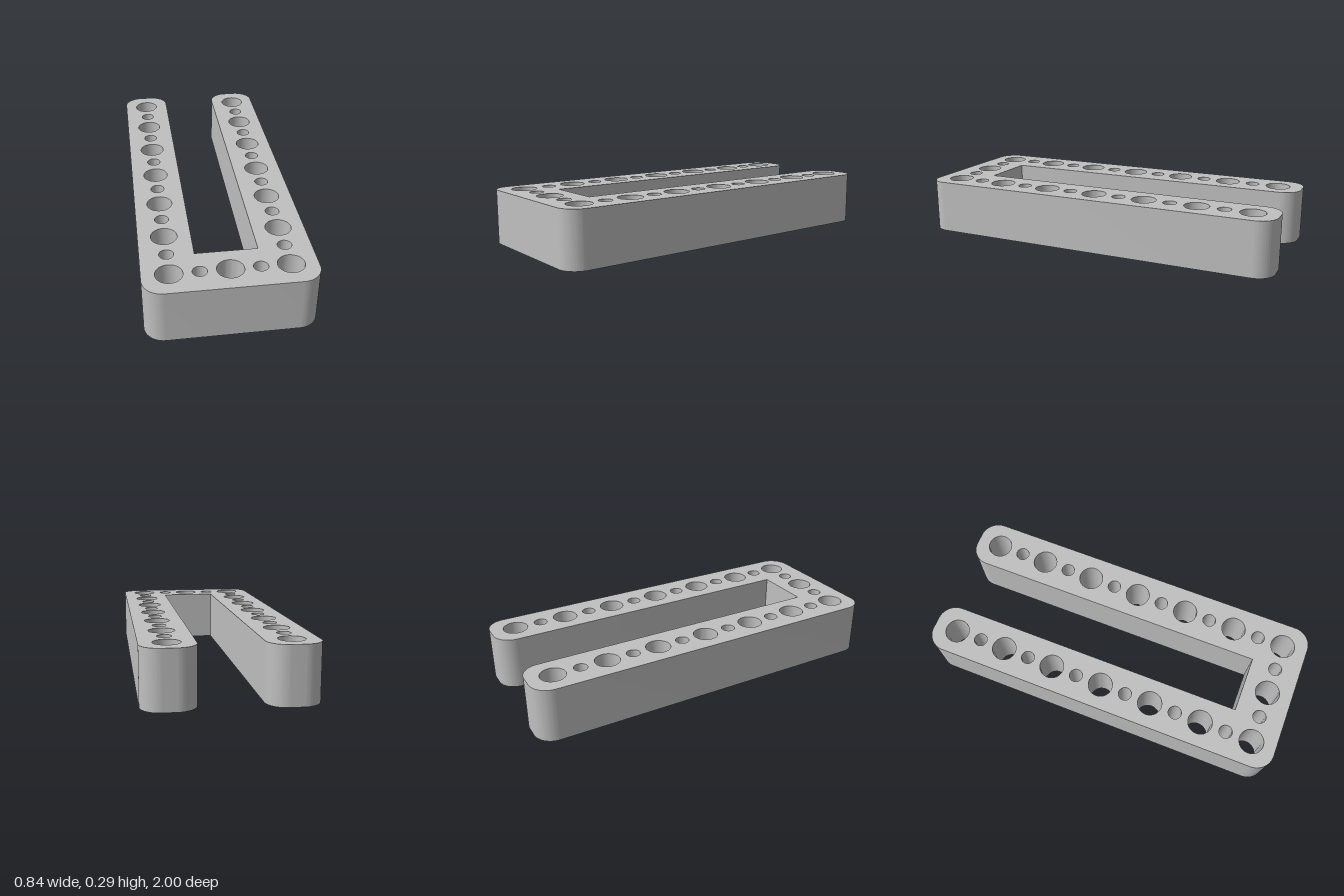
import * as THREE from 'three';
import { toCreasedNormals } from 'three/addons/utils/BufferGeometryUtils.js';

const HALF_WIDTH = 0.42, HALF_LENGTH = 1, HEIGHT = 0.289;
const SLOT_HALF = 0.155, SLOT_END = 0.732; // open slot between the arms
const CORNER = 0.1;
const PITCH = 0.2887; // distance between large holes
const LARGE = 0.066, SMALL = 0.036;

// U-shaped outline, drawn with shape y = -z
function frameOutline() {
  const s = new THREE.Shape();
  const W = HALF_WIDTH, L = HALF_LENGTH, S = SLOT_HALF, r = CORNER, q = Math.PI / 2;
  s.moveTo(-W + r, -L);
  s.lineTo(W - r, -L);
  s.absarc(W - r, -L + r, r, -q, 0, false);
  s.lineTo(W, L - r);
  s.absarc(W - r, L - r, r, 0, q, false);
  s.lineTo(S + r, L);
  s.absarc(S + r, L - r, r, q, 2 * q, false);
  s.lineTo(S, -SLOT_END);
  s.lineTo(-S, -SLOT_END);
  s.lineTo(-S, L - r);
  s.absarc(-S - r, L - r, r, 0, q, false);
  s.lineTo(-W + r, L);
  s.absarc(-W + r, L - r, r, q, 2 * q, false);
  s.lineTo(-W, -L + r);
  s.absarc(-W + r, -L + r, r, 2 * q, 3 * q, false);
  return s;
}

function addHole(shape, x, z, radius) {
  const hole = new THREE.Path();
  hole.absarc(x, -z, radius, 0, Math.PI * 2, true);
  shape.holes.push(hole);
}

export function createModel() {
  const group = new THREE.Group();
  group.name = 'perforatedFrame';
  const grey = new THREE.MeshStandardMaterial({ color: 0xc0c0c0 });
  grey.name = 'light grey';

  const shape = frameOutline();
  // alternating large and small holes along both arms
  for (const side of [-1, 1]) {
    for (let i = -6; i <= 6; i++) {
      addHole(shape, side * PITCH, i * PITCH / 2, i % 2 === 0 ? LARGE : SMALL);
    }
  }
  // holes along the cross bar
  for (let i = -1; i <= 1; i++) {
    addHole(shape, i * PITCH / 2, 3 * PITCH, i === 0 ? LARGE : SMALL);
  }

  let geometry = new THREE.ExtrudeGeometry(shape, {
    depth: HEIGHT, bevelEnabled: false, curveSegments: 20,
  });
  geometry.rotateX(-Math.PI / 2);
  geometry = toCreasedNormals(geometry, Math.PI / 6);

  const frame = new THREE.Mesh(geometry, grey);
  frame.name = 'frame';
  group.add(frame);
  return group;
}
